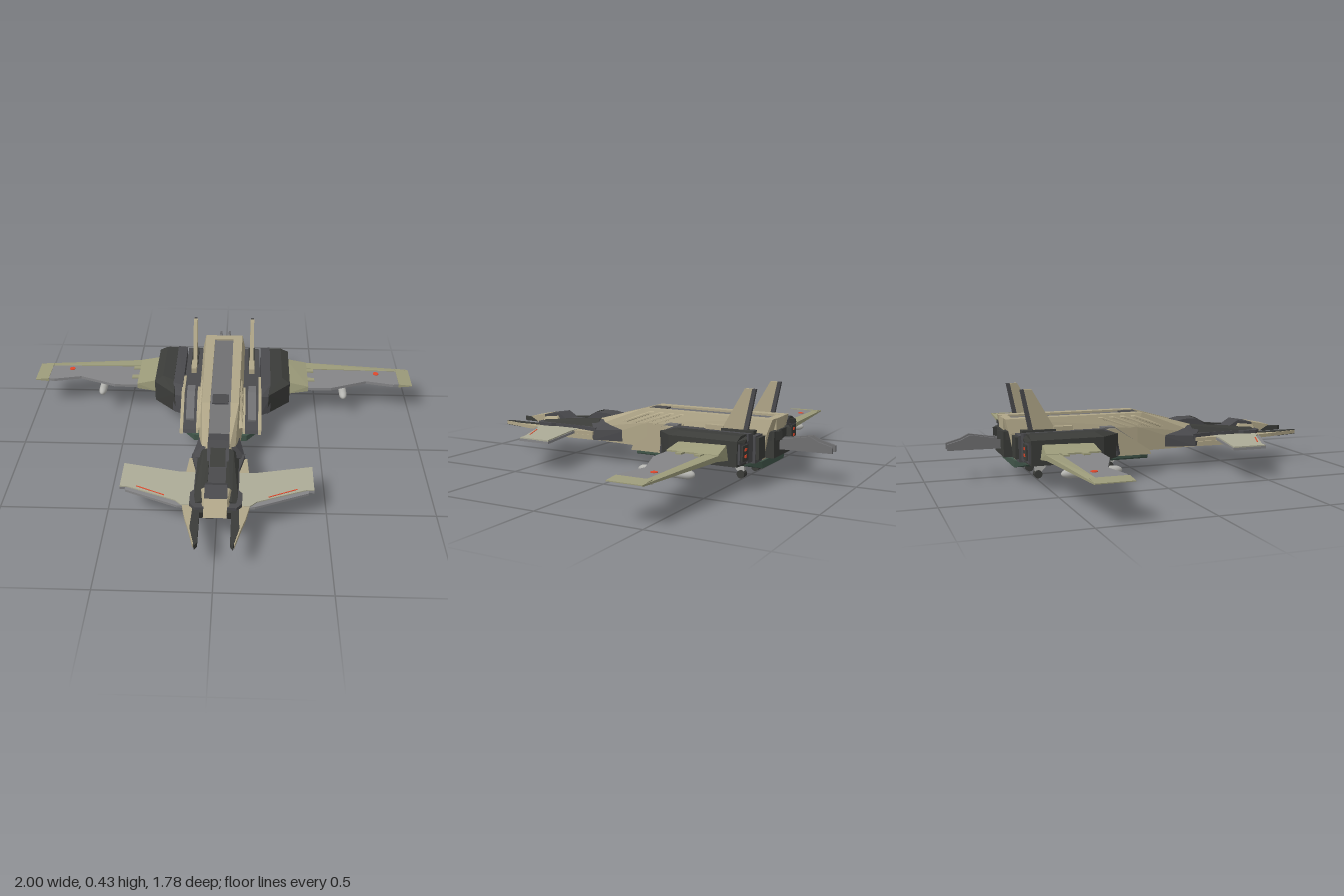
import * as THREE from 'three';
import { ConvexGeometry } from 'three/addons/geometries/ConvexGeometry.js';

const C = { tan: 0xb0a688, dark: 0x3b3c39, char: 0x4a4a4d, grey: 0x707072, wing: 0x858587,
  olive: 0x9c9b7a, pale: 0xadac97, green: 0x41564a, tank: 0xb4b4b0, red: 0xe0482c };

export function createModel() {
  const root = new THREE.Group();
  const mats = {};
  const add = (name, color, geo) => {
    mats[color] ??= new THREE.MeshStandardMaterial({ color: C[color], flatShading: color !== 'tank' });
    const mesh = new THREE.Mesh(geo, mats[color]);
    mesh.name = name;
    root.add(mesh);
    return mesh;
  };
  const shape = (pts) => new THREE.Shape(pts.map(([a, b]) => new THREE.Vector2(a, b)));
  const extrude = (pts, depth) => new THREE.ExtrudeGeometry(shape(pts), { depth, bevelEnabled: false });
  const box = (name, color, x0, x1, y0, y1, z0, z1) => add(name, color,
    new THREE.BoxGeometry(Math.abs(x1 - x0), y1 - y0, Math.abs(z1 - z0))
      .translate((x0 + x1) / 2, (y0 + y1) / 2, (z0 + z1) / 2));
  // side profile [z, y] extruded across x
  const slab = (name, color, pts, xa, xb) => add(name, color,
    extrude(pts, Math.abs(xb - xa)).rotateY(-Math.PI / 2).translate(Math.max(xa, xb), 0, 0));
  // plan outline [x, z] extruded from y0 to y1, s mirrors it
  const plan = (name, color, pts, y0, y1, s = 1) => add(name, color,
    extrude(pts.map(([x, z]) => [x * s, z]), y1 - y0).rotateX(Math.PI / 2).translate(0, y1, 0));
  // convex block from corner points, s mirrors it
  const hull = (name, color, pts, s = 1) => add(name, color,
    new ConvexGeometry(pts.map(([x, y, z]) => new THREE.Vector3(x * s, y, z))));

  // Central fuselage and recessed spine
  slab('spine', 'grey', [[0.3, 0.1], [0.3, 0.2], [0.2, 0.215], [0.03, 0.275], [-0.62, 0.275], [-0.62, 0.1]], -0.055, 0.055);
  slab('spinePanel', 'char', [[-0.05, 0.27], [-0.05, 0.282], [0.03, 0.282], [0.03, 0.27]], -0.04, 0.04);
  box('rearBulkhead', 'dark', -0.1, 0.1, 0.11, 0.23, -0.6, -0.65);
  box('rearCap', 'tan', -0.05, 0.05, 0.225, 0.284, -0.6, -0.64);

  // Long nose and cockpit
  slab('neck', 'dark', [[0.25, 0.1], [0.66, 0.1], [0.68, 0.15], [0.66, 0.165], [0.25, 0.165]], -0.075, 0.075);
  slab('canopyHump', 'char', [[0.2, 0.15], [0.2, 0.222], [0.27, 0.236], [0.34, 0.236], [0.41, 0.185],
    [0.52, 0.185], [0.57, 0.215], [0.66, 0.2], [0.66, 0.15]], -0.05, 0.05);
  hull('windscreen', 'dark', [-0.035, 0.035].flatMap((x) => [[x, 0.24, 0.335], [x, 0.195, 0.42], [x, 0.18, 0.34]]));
  slab('noseTip', 'tan', [[0.65, 0.145], [0.65, 0.203], [0.75, 0.183], [0.69, 0.15]], -0.05, 0.05);
  box('noseChin', 'grey', -0.05, 0.05, 0.11, 0.15, 0.5, 0.67);

  // Belly plate
  hull('bellyPlate', 'green', [-1, 1].flatMap((s) => [
    [s * 0.2, 0.1, -0.02], [s * 0.13, 0.1, 0.045], [s * 0.2, 0.1, -0.56], [s * 0.14, 0.1, -0.61],
    [s * 0.2, 0.088, -0.02], [s * 0.13, 0.068, 0.045], [s * 0.2, 0.088, -0.56], [s * 0.13, 0.066, -0.61]]));

  // Landing gear: one nose wheel, two main wheels
  for (const [x, z] of [[0, -0.11], [0.085, -0.49], [-0.085, -0.49]]) {
    slab('gearStrut', 'tank', [[z + 0.055, 0.07], [z - 0.015, 0.07], [z - 0.012, 0.02], [z + 0.008, 0.02]], x - 0.008, x + 0.008);
    add('wheel', 'dark', new THREE.CylinderGeometry(0.019, 0.019, 0.034, 16).rotateZ(Math.PI / 2).translate(x, 0.019, z));
  }

  for (const s of [1, -1]) {
    // Fuselage side rails and ribs
    hull('sideRail', 'tan', [
      [0.05, 0.1, 0.34], [0.08, 0.1, 0.34], [0.05, 0.21, 0.3], [0.075, 0.165, 0.34], [0.07, 0.21, 0.25],
      [0.05, 0.285, 0.03], [0.09, 0.285, 0.03], [0.11, 0.22, 0.0], [0.11, 0.1, 0.0],
      [0.05, 0.285, -0.64], [0.1, 0.285, -0.64], [0.115, 0.22, -0.62], [0.115, 0.1, -0.6], [0.05, 0.1, -0.6]], s);
    for (let i = 0; i < 4; i++) {
      const z = 0.11 - i * 0.055;
      hull('shoulderRib', 'tan', [0, 0.02].flatMap((d) => [
        [0.085, 0.28, z - 0.12 - d], [0.104, 0.27, z - 0.12 - d], [0.08, 0.21, z + 0.03 - d], [0.112, 0.215, z + 0.03 - d]]), s);
    }
    hull('rearChevron', 'dark', [[0.05, 0.19, -0.67], [0.1, 0.19, -0.64], [0.11, 0.19, -0.6], [0.05, 0.19, -0.6],
      [0.05, 0.23, -0.67], [0.1, 0.23, -0.64], [0.11, 0.23, -0.6], [0.05, 0.23, -0.6]], s);

    // Neck fairing, cockpit sides and nose prongs
    hull('neckFairing', 'char', [[0.09, 0.11, 0.12], [0.13, 0.11, 0.3], [0.06, 0.11, 0.36],
      [0.09, 0.17, 0.12], [0.125, 0.16, 0.3], [0.06, 0.2, 0.36], [0.06, 0.21, 0.24]], s);
    plan('cockpitSide', 'char', [[0.04, 0.29], [0.125, 0.29], [0.11, 0.36], [0.1, 0.4], [0.1, 0.55], [0.115, 0.57],
      [0.115, 0.64], [0.09, 0.67], [0.05, 0.67]], 0.14, 0.17, s);
    hull('cockpitSill', 'dark', [[0.04, 0.165, 0.3], [0.1, 0.165, 0.3], [0.04, 0.21, 0.3], [0.07, 0.205, 0.3],
      [0.04, 0.165, 0.64], [0.1, 0.165, 0.64], [0.04, 0.178, 0.64], [0.07, 0.178, 0.64]], s);
    hull('noseCheek', 'tan', [[0.048, 0.165, 0.55], [0.08, 0.165, 0.56], [0.048, 0.2, 0.57], [0.06, 0.195, 0.57],
      [0.048, 0.165, 0.67], [0.06, 0.165, 0.66], [0.048, 0.19, 0.66]], s);
    plan('prong', 'tan', [[0.1, 0.3], [0.135, 0.3], [0.145, 0.42], [0.147, 0.64], [0.13, 0.72], [0.115, 0.77],
      [0.085, 0.885], [0.08, 0.64]], 0.135, 0.152, s);
    plan('prongInner', 'dark', [[0.07, 0.3], [0.1, 0.3], [0.1, 0.64], [0.105, 0.78], [0.08, 0.89], [0.068, 0.87]], 0.132, 0.155, s);
    plan('lowerSidePlate', 'tan', [[0.07, 0.2], [0.11, 0.3], [0.12, 0.62], [0.07, 0.66]], 0.105, 0.128, s);

    // Canards
    plan('canard', 'wing', [[0.1, 0.4], [0.15, 0.405], [0.435, 0.35], [0.435, 0.52], [0.41, 0.515],
      [0.41, 0.535], [0.17, 0.635], [0.1, 0.64]], 0.136, 0.148, s);
    plan('canardSkin', 'pale', [[0.1, 0.41], [0.18, 0.405], [0.435, 0.352], [0.435, 0.517], [0.405, 0.517],
      [0.18, 0.605], [0.15, 0.635], [0.1, 0.635]], 0.147, 0.154, s);
    plan('canardStripe', 'red', [[0.23, 0.572], [0.36, 0.514], [0.36, 0.519], [0.23, 0.577]], 0.153, 0.156, s);

    // Intake with sloping lip
    const intake = [[0.03, 0.1], [0.02, 0.115], [-0.14, 0.222], [-0.6, 0.222], [-0.6, 0.1]];
    slab('intakeCore', 'char', intake, s * 0.11, s * 0.195);
    slab('intakeCheek', 'tan', [[0.035, 0.1], [0.025, 0.122], [-0.14, 0.23], [-0.3, 0.23], [-0.3, 0.1]], s * 0.187, s * 0.203);
    slab('intakeRib', 'tan', [[0.03, 0.1], [0.02, 0.125], [-0.14, 0.228], [-0.2, 0.228], [-0.2, 0.1]], s * 0.11, s * 0.122);
    slab('intakeDoor', 'grey', [[-0.02, 0.13], [-0.02, 0.152], [-0.14, 0.236], [-0.2, 0.236], [-0.2, 0.13]], s * 0.135, s * 0.175);
    box('finBase', 'tan', s * 0.138, s * 0.166, 0.21, 0.25, -0.34, -0.43);
    box('finTrench', 'dark', s * 0.135, s * 0.17, 0.21, 0.24, -0.42, -0.58);

    // Engine nacelle
    hull('nacelleShoulder', 'char', [[0.2, 0.11, -0.12], [0.25, 0.11, -0.15], [0.2, 0.21, -0.14], [0.25, 0.2, -0.16],
      [0.2, 0.235, -0.2], [0.25, 0.238, -0.22], [0.2, 0.11, -0.59], [0.25, 0.11, -0.59], [0.2, 0.235, -0.59], [0.25, 0.24, -0.59]], s);
    hull('nacelle', 'dark', [[0.235, 0.105, -0.145], [0.35, 0.11, -0.25], [0.24, 0.215, -0.145], [0.35, 0.222, -0.25],
      [0.25, 0.24, -0.24], [0.31, 0.24, -0.28], [0.235, 0.105, -0.58], [0.35, 0.11, -0.58],
      [0.25, 0.24, -0.58], [0.31, 0.24, -0.58], [0.35, 0.222, -0.58]], s);
    hull('nozzleHood', 'dark', [[0.255, 0.21, -0.58], [0.35, 0.21, -0.58], [0.29, 0.21, -0.6], [0.32, 0.21, -0.6],
      [0.255, 0.232, -0.58], [0.35, 0.222, -0.58], [0.3, 0.228, -0.605]], s);
    box('nozzleFrame', 'char', s * 0.25, s * 0.34, 0.12, 0.21, -0.57, -0.59);
    box('nozzle', 'dark', s * 0.265, s * 0.325, 0.13, 0.2, -0.57, -0.597);
    for (const y of [0.145, 0.175]) box('nozzleLight', 'red', s * 0.285, s * 0.305, y, y + 0.012, -0.59, -0.6);
    box('innerExhaust', 'dark', s * 0.12, s * 0.19, 0.115, 0.215, -0.59, -0.615);

    // Tail fin
    slab('tailFin', 'tan', [[-0.42, 0.235], [-0.53, 0.425], [-0.565, 0.425], [-0.525, 0.235]], s * 0.141, s * 0.161);
    slab('rudder', 'char', [[-0.525, 0.235], [-0.565, 0.425], [-0.582, 0.425], [-0.545, 0.235]], s * 0.143, s * 0.159);

    // Twin rear blades
    slab('rearBlade', 'grey', [[-0.62, 0.14], [-0.62, 0.185], [-0.7, 0.195], [-0.79, 0.21], [-0.83, 0.19],
      [-0.895, 0.172], [-0.895, 0.143]], s * 0.018, s * 0.031);

    // Main wing
    hull('wingRoot', 'olive', [[0.34, 0.135, -0.54], [0.34, 0.205, -0.53], [0.34, 0.135, -0.29], [0.34, 0.2, -0.3],
      [0.45, 0.15, -0.54], [0.45, 0.178, -0.54], [0.45, 0.15, -0.295], [0.45, 0.178, -0.295]], s);
    plan('wingPanel', 'wing', [[0.44, -0.5], [0.94, -0.475], [0.94, -0.345], [0.9, -0.34], [0.76, -0.37],
      [0.57, -0.297], [0.44, -0.295]], 0.156, 0.171, s);
    hull('wingRearEdge', 'olive', [[0.44, 0.152, -0.542], [0.44, 0.176, -0.542], [0.44, 0.152, -0.48], [0.44, 0.176, -0.48],
      [1, 0.16, -0.5], [1, 0.167, -0.5], [0.93, 0.158, -0.475], [0.93, 0.172, -0.475]], s);
    hull('wingTip', 'olive', [[0.93, 0.155, -0.5], [0.93, 0.173, -0.5], [0.93, 0.155, -0.34], [0.93, 0.173, -0.34],
      [1, 0.162, -0.5], [1, 0.166, -0.5], [1, 0.162, -0.34], [1, 0.166, -0.34]], s);
    for (const z of [-0.46, -0.37]) box('wingHinge', 'olive', s * 0.44, s * 0.485, 0.152, 0.178, z - 0.014, z + 0.014);
    add('wingMarker', 'red', new THREE.CylinderGeometry(0.015, 0.015, 0.006, 16).translate(s * 0.82, 0.171, -0.445));

    // Underwing tank and pylon
    box('tankPylon', 'wing', s * 0.628, s * 0.642, 0.14, 0.16, -0.48, -0.34);
    add('wingTank', 'tank', new THREE.CapsuleGeometry(0.02, 0.1, 8, 16).scale(1, 1.0, 1).rotateX(Math.PI / 2)
      .scale(1, 1, 1.86).translate(s * 0.635, 0.13, -0.396));
  }
  return root;
}
